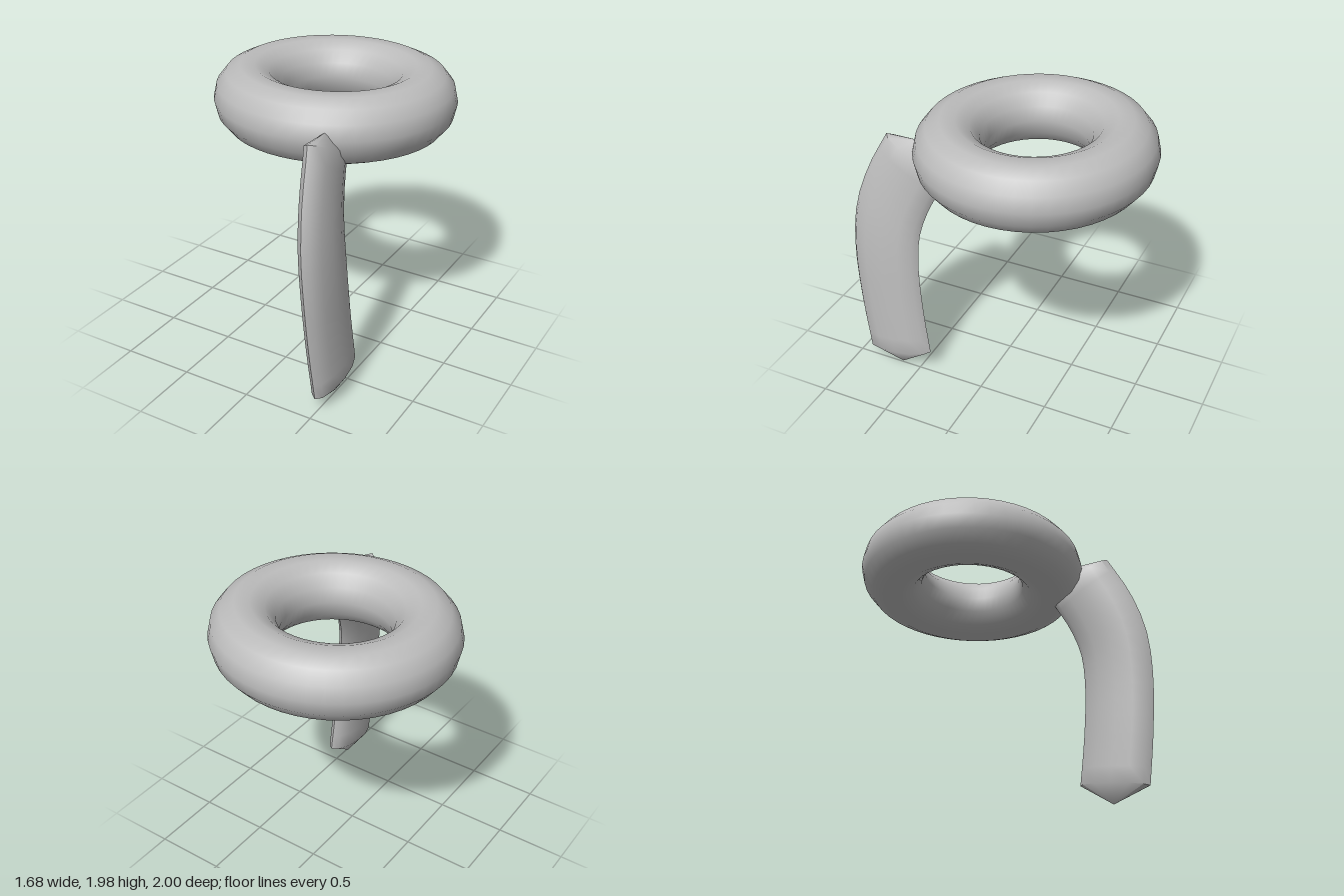
import * as THREE from 'three';
import { toCreasedNormals } from 'three/addons/utils/BufferGeometryUtils.js';

const V = (x, y, z) => new THREE.Vector3(x, y, z);

// Ring: torus with a round tube on a slightly oval path
function ringGeometry() {
  const g = new THREE.TorusGeometry(0.6075, 0.2325, 14, 48);
  g.rotateX(Math.PI / 2);
  const p = g.attributes.position;
  for (let i = 0; i < p.count; i++) {
    const x = p.getX(i), z = p.getZ(i);
    p.setZ(i, z - 0.0315 * z / Math.hypot(x, z));
  }
  return g;
}

// Leg: flat oval section swept along a bent path, with pointed ends
function legGeometry() {
  const path = new THREE.CatmullRomCurve3([
    V(0.4875, 0.13, 0.665), V(0.475, 0.5, 0.715), V(0.457, 0.9, 0.745),
    V(0.43, 1.18, 0.73), V(0.39, 1.43, 0.655), V(0.34, 1.695, 0.52),
  ]);
  const sides = 12, rings = 14;
  const pos = [], index = [];
  for (let i = 0; i <= rings; i++) {
    const c = path.getPointAt(i / rings);
    const t = path.getTangentAt(i / rings);
    const wide = V(1, 0, 0).cross(t).normalize();
    const thin = t.clone().cross(wide).normalize();
    for (let k = 0; k < sides; k++) {
      const a = k / sides * Math.PI * 2;
      const v = c.clone()
        .addScaledVector(wide, 0.255 * Math.cos(a))
        .addScaledVector(thin, 0.084 * Math.sin(a));
      pos.push(v.x, v.y, v.z);
    }
  }
  const bottom = (rings + 1) * sides, top = bottom + 1;
  pos.push(0.49, 0, 0.65, 0.333, 1.81, 0.5);
  for (let k = 0; k < sides; k++) {
    const n = (k + 1) % sides;
    for (let i = 0; i < rings; i++) {
      const a = i * sides + k, b = i * sides + n;
      index.push(a, b, a + sides, b, b + sides, a + sides);
    }
    index.push(bottom, n, k, top, rings * sides + k, rings * sides + n);
  }
  const g = new THREE.BufferGeometry();
  g.setAttribute('position', new THREE.Float32BufferAttribute(pos, 3));
  g.setIndex(index);
  return toCreasedNormals(g, 0.9);
}

export function createModel() {
  const group = new THREE.Group();
  const grey = new THREE.MeshStandardMaterial({ color: 0xbcbcbc });
  grey.name = 'grey';

  const ring = new THREE.Mesh(ringGeometry(), grey);
  ring.name = 'ring';
  ring.position.set(0, 1.755, -0.19);

  const leg = new THREE.Mesh(legGeometry(), grey);
  leg.name = 'leg';

  group.add(ring, leg);
  return group;
}
